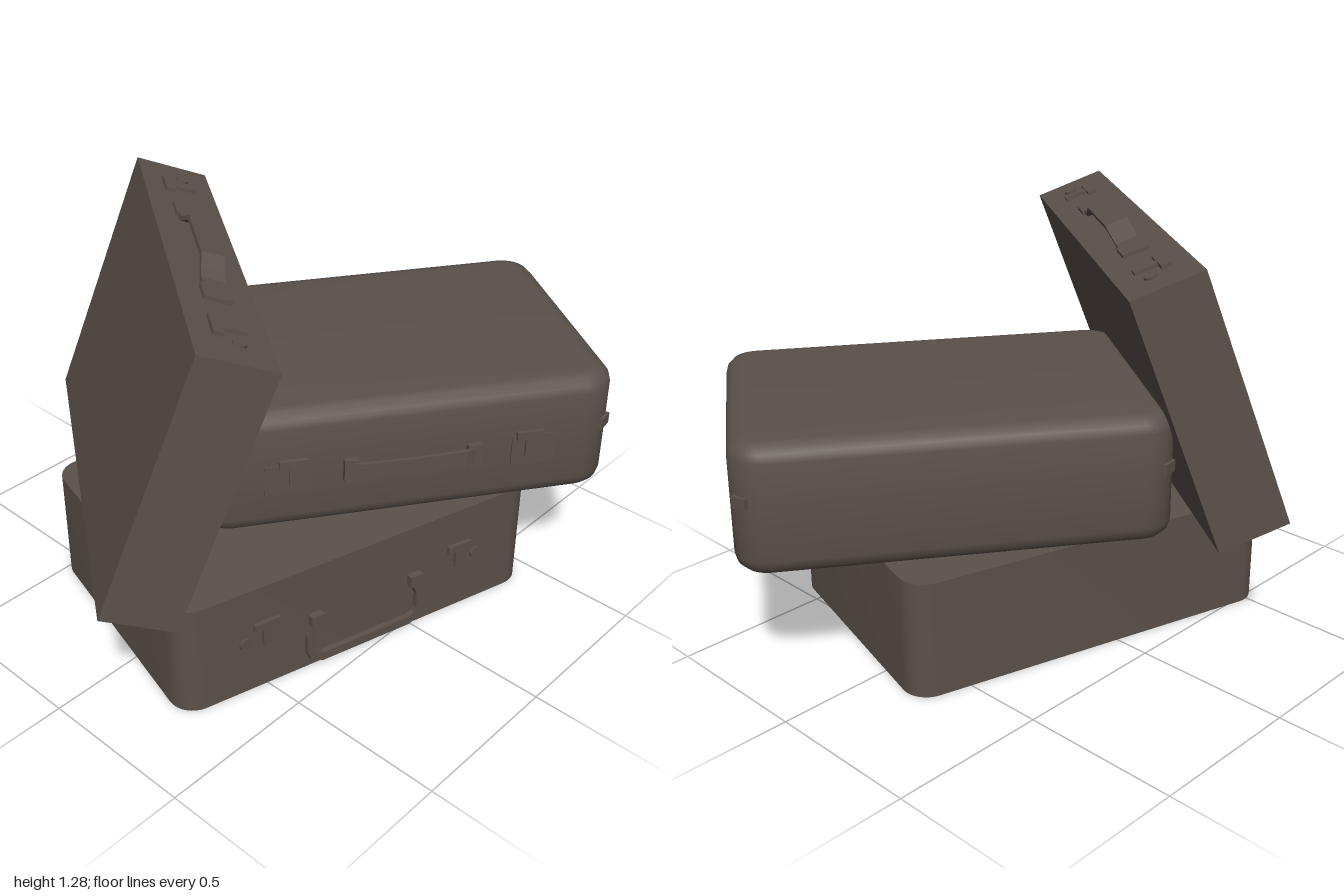
import * as THREE from 'three';
import { toCreasedNormals } from 'three/addons/utils/BufferGeometryUtils.js';

const leather = new THREE.MeshStandardMaterial({ color: 0x5b514a });
leather.name = 'brown leather';

function add(parent, name, geometry, x = 0, y = 0, z = 0) {
  const mesh = new THREE.Mesh(geometry, leather);
  mesh.name = name;
  mesh.position.set(x, y, z);
  parent.add(mesh);
  return mesh;
}

// Case body lying flat: rounded corners in plan, optional rounded rims
function caseBody(w, h, d, r, bevel) {
  const a = w / 2, b = d / 2;
  const s = new THREE.Shape();
  s.moveTo(-a + r, -b);
  s.lineTo(a - r, -b);
  s.absarc(a - r, -b + r, r, -Math.PI / 2, 0);
  s.lineTo(a, b - r);
  s.absarc(a - r, b - r, r, 0, Math.PI / 2);
  s.lineTo(-a + r, b);
  s.absarc(-a + r, b - r, r, Math.PI / 2, Math.PI);
  s.lineTo(-a, -b + r);
  s.absarc(-a + r, -b + r, r, Math.PI, Math.PI * 1.5);
  const g = new THREE.ExtrudeGeometry(s, {
    depth: h - 2 * bevel, curveSegments: 4, bevelEnabled: bevel > 0,
    bevelSize: bevel, bevelThickness: bevel, bevelOffset: -bevel, bevelSegments: 3,
  });
  g.translate(0, 0, bevel - h / 2);
  g.rotateX(-Math.PI / 2);
  return toCreasedNormals(g, 0.7);
}

// Strap of constant thickness following a path, extruded to a width
function strap(path, thickness, width) {
  const pts = path.map(([x, y]) => new THREE.Vector2(x, y));
  const side = (k) => pts.map((p, i) => {
    const t = pts[Math.min(i + 1, pts.length - 1)].clone().sub(pts[Math.max(i - 1, 0)]).normalize();
    return new THREE.Vector2(p.x - t.y * k, p.y + t.x * k);
  });
  const outline = [...side(-thickness / 2), ...side(thickness / 2).reverse()];
  const g = new THREE.ExtrudeGeometry(new THREE.Shape(outline), { depth: width, bevelEnabled: false });
  return g.translate(0, 0, -width / 2);
}

// T-shaped latch on a face whose outward direction is +z
function latch(parent, x, y, size, flip = 1) {
  const g = new THREE.Group();
  g.name = 'latch';
  g.position.set(x, y, 0);
  add(g, 'latchBar', new THREE.BoxGeometry(size, size * 0.3, 0.02), 0, flip * size * 0.35, 0.003);
  add(g, 'latchStem', new THREE.BoxGeometry(size * 0.3, size * 0.75, 0.016), 0, -flip * size * 0.15, 0.003);
  parent.add(g);
}

function stud(parent, x, y) {
  add(parent, 'stud', new THREE.CylinderGeometry(0.02, 0.02, 0.01, 16).rotateX(Math.PI / 2), x, y, 0.002);
}

// Group carrying the fittings of one face
function face(parent, name) {
  const g = new THREE.Group();
  g.name = name;
  parent.add(g);
  return g;
}

function bottomCase() {
  const g = new THREE.Group();
  g.name = 'bottomCase';
  add(g, 'bottomBody', caseBody(0.866, 0.375, 1.27, 0.08, 0));
  const f = face(g, 'bottomFittings');
  f.position.x = 0.433;
  f.rotation.y = Math.PI / 2;
  // Handle hanging down against the side
  add(f, 'hangingHandle', strap([[-0.18, -0.01], [-0.2, -0.06], [-0.2, -0.12], [-0.19, -0.145], [-0.16, -0.158],
    [0.16, -0.158], [0.19, -0.145], [0.2, -0.12], [0.2, -0.06], [0.18, -0.01]], 0.03, 0.02), 0, 0, 0.008);
  for (const s of [-1, 1]) {
    add(f, 'handleMount', new THREE.BoxGeometry(0.045, 0.04, 0.034), s * 0.18, -0.005, 0.005);
    latch(f, s * 0.35, 0.02, 0.085);
    stud(f, s * 0.42, 0);
  }
  g.position.set(0.05, 0.1875, 0.05);
  g.rotation.y = -0.274;
  return g;
}

function middleCase() {
  const g = new THREE.Group();
  g.name = 'middleCase';
  add(g, 'middleBody', caseBody(0.854, 0.4, 1.284, 0.1, 0.05));
  const f = face(g, 'middleFittings');
  f.position.x = 0.427;
  f.rotation.y = Math.PI / 2;
  add(f, 'sideHandle', strap([[-0.2, 0.008], [-0.16, 0.024], [0, 0.028], [0.16, 0.024], [0.2, 0.008]], 0.012, 0.055)
    .rotateX(Math.PI / 2).scale(1, 1, 1), 0, -0.01, 0).rotation.set(0, 0, 0);
  for (const s of [-1, 1]) {
    add(f, 'handleMount', new THREE.BoxGeometry(0.045, 0.075, 0.025), s * 0.19, -0.01, 0.006);
    add(f, 'latchPlate', new THREE.BoxGeometry(0.14, 0.1, 0.008), s * 0.38, -0.02, 0);
    latch(f, s * 0.365, 0.005, 0.085);
  }
  // Small clips wrapping the four upright corners
  for (const sx of [-1, 1]) for (const sz of [-1, 1]) {
    const clip = add(g, 'cornerClip', new THREE.BoxGeometry(0.05, 0.035, 0.02), sx * 0.397, 0.03, sz * 0.612);
    clip.rotation.y = sx * sz * Math.PI / 4;
  }
  g.position.set(0.128, 0.61, -0.261);
  g.rotation.y = -0.604;
  return g;
}

function leaningCase() {
  const g = new THREE.Group();
  g.name = 'leaningCase';
  add(g, 'leaningBody', new THREE.BoxGeometry(1.28, 0.843, 0.228));
  const f = face(g, 'leaningFittings');
  f.position.y = 0.4215;
  f.rotation.x = -Math.PI / 2;
  // Arched carrying handle
  add(g, 'archedHandle', strap([[-0.3, 0.004], [-0.2, 0.006], [-0.165, 0.022], [-0.12, 0.046], [0.12, 0.046],
    [0.165, 0.022], [0.2, 0.006], [0.3, 0.004]], 0.014, 0.07), 0, 0.4215, 0);
  for (const s of [-1, 1]) {
    add(f, 'handleMount', new THREE.BoxGeometry(0.08, 0.085, 0.016), s * 0.27, 0, 0.004);
    latch(f, s * 0.46, 0, 0.1, -1);
    stud(f, s * 0.53, 0.02);
  }
  // Tilted back and turned to rest on the middle case
  const x = new THREE.Vector3(0.816, 0, 0.578).normalize();
  const y = new THREE.Vector3(0.202, 0.937, -0.285).normalize();
  const z = x.clone().cross(y).normalize();
  y.crossVectors(z, x);
  g.quaternion.setFromRotationMatrix(new THREE.Matrix4().makeBasis(x, y, z));
  g.position.set(-0.1525, 0.8225, 0.42);
  return g;
}

export function createModel() {
  const model = new THREE.Group();
  model.name = 'suitcaseStack';
  model.add(bottomCase(), middleCase(), leaningCase());
  return model;
}
